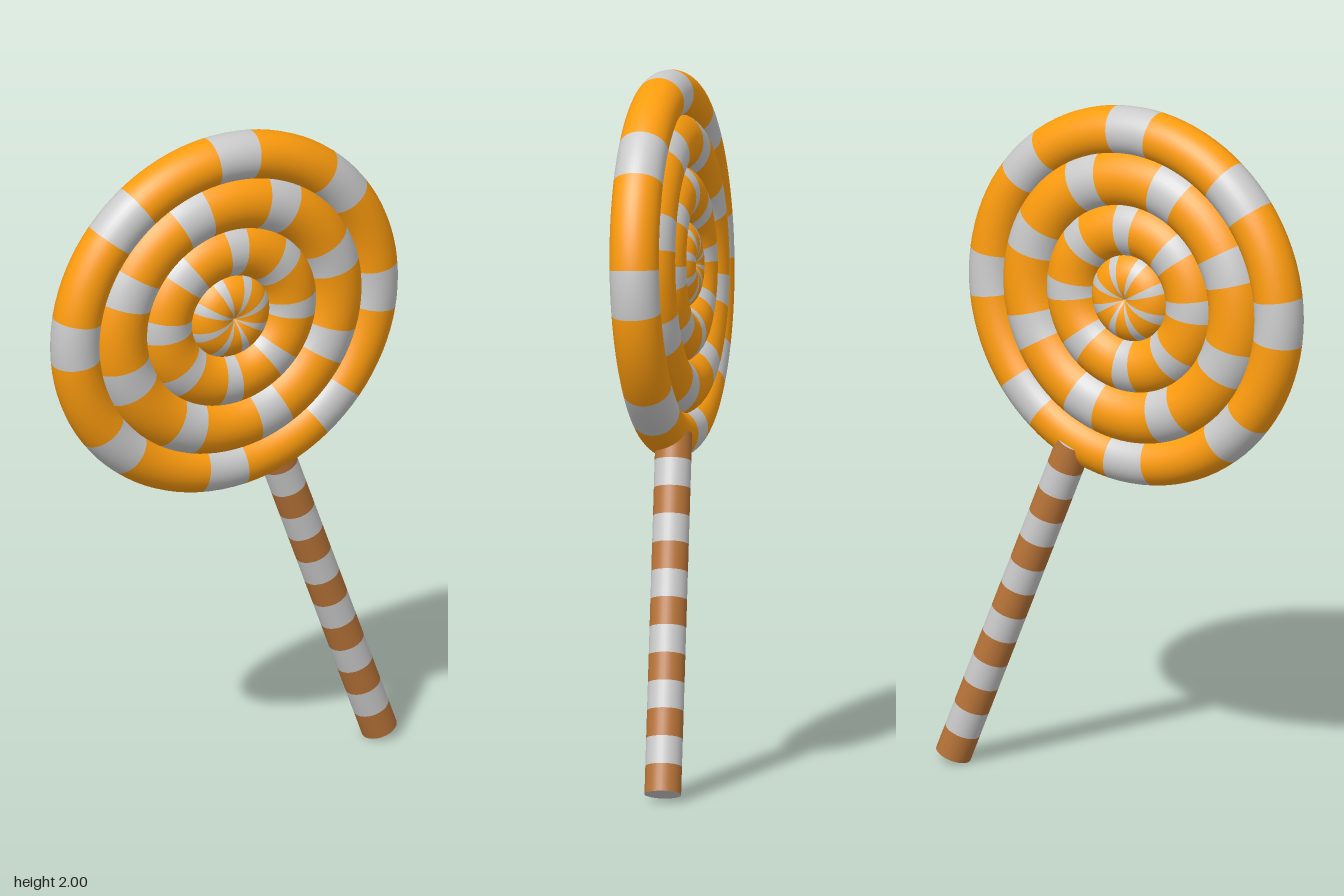
import * as THREE from 'three';
import { mergeGeometries } from 'three/addons/utils/BufferGeometryUtils.js';

export function createModel() {
  const model = new THREE.Group();
  model.name = 'lollipop';

  const orange = new THREE.MeshStandardMaterial({ color: 0xff9d0e });
  const brown = new THREE.MeshStandardMaterial({ color: 0xb87438 });
  const grey = new THREE.MeshStandardMaterial({ color: 0xcccccc });

  const addMesh = (parent, name, geometries, material) => {
    const mesh = new THREE.Mesh(mergeGeometries(geometries), material);
    mesh.name = name;
    parent.add(mesh);
  };

  // Candy head: nested striped rings, tilted slightly as one disc
  const candy = new THREE.Group();
  candy.name = 'candy';
  candy.position.set(-0.02, 1.45, 0.043);
  const normal = new THREE.Vector3(0.1, -0.04, 1).normalize();
  candy.quaternion.setFromUnitVectors(new THREE.Vector3(0, 0, 1), normal);
  candy.rotateZ(-0.02);
  model.add(candy);

  const stripes = 8;
  const step = (Math.PI * 2) / stripes;
  const paleArc = step / 3;
  const arc = (radius, tube, start, length, segments) =>
    new THREE.TorusGeometry(radius, tube, 32, segments, length).rotateZ(start);

  // name, ring radius, tube radius, stripe offset in steps
  const rings = [
    ['outerRing', 0.48, 0.07, 0],
    ['secondRing', 0.345, 0.086, 0.5],
    ['thirdRing', 0.2, 0.085, 0],
    ['centreRing', 0.055, 0.08, 0.5],
  ];
  for (const [name, radius, tube, offset] of rings) {
    const pale = [];
    const coloured = [];
    for (let i = 0; i < stripes; i++) {
      const start = (i + offset) * step - paleArc / 2;
      pale.push(arc(radius, tube, start, paleArc, 4));
      coloured.push(arc(radius, tube, start + paleArc, step - paleArc, 8));
    }
    const ring = new THREE.Group();
    ring.name = name;
    addMesh(ring, name + 'PaleStripes', pale, grey);
    addMesh(ring, name + 'OrangeStripes', coloured, orange);
    candy.add(ring);
  }

  // Stick: alternating bands from the foot up into the outer ring
  const stick = new THREE.Group();
  stick.name = 'stick';
  stick.position.set(0.52, 0.019, -0.109);
  const direction = new THREE.Vector3(-0.35, 0.93, 0.085).normalize();
  stick.quaternion.setFromUnitVectors(new THREE.Vector3(0, 1, 0), direction);
  model.add(stick);

  const stickRadius = 0.052;
  const bandCount = 13;
  const bandLength = 0.0805;
  const bands = [[], []];
  for (let i = 0; i < bandCount; i++) {
    bands[i % 2].push(
      new THREE.CylinderGeometry(stickRadius, stickRadius, bandLength, 32, 1, true)
        .translate(0, (i + 0.5) * bandLength, 0)
    );
  }
  addMesh(stick, 'stickBrownBands', bands[0], brown);
  addMesh(stick, 'stickPaleBands', bands[1], grey);
  addMesh(stick, 'stickEnds', [
    new THREE.CircleGeometry(stickRadius, 32).rotateX(Math.PI / 2),
    new THREE.CircleGeometry(stickRadius, 32).rotateX(-Math.PI / 2).translate(0, bandCount * bandLength, 0),
  ], grey);

  return model;
}
